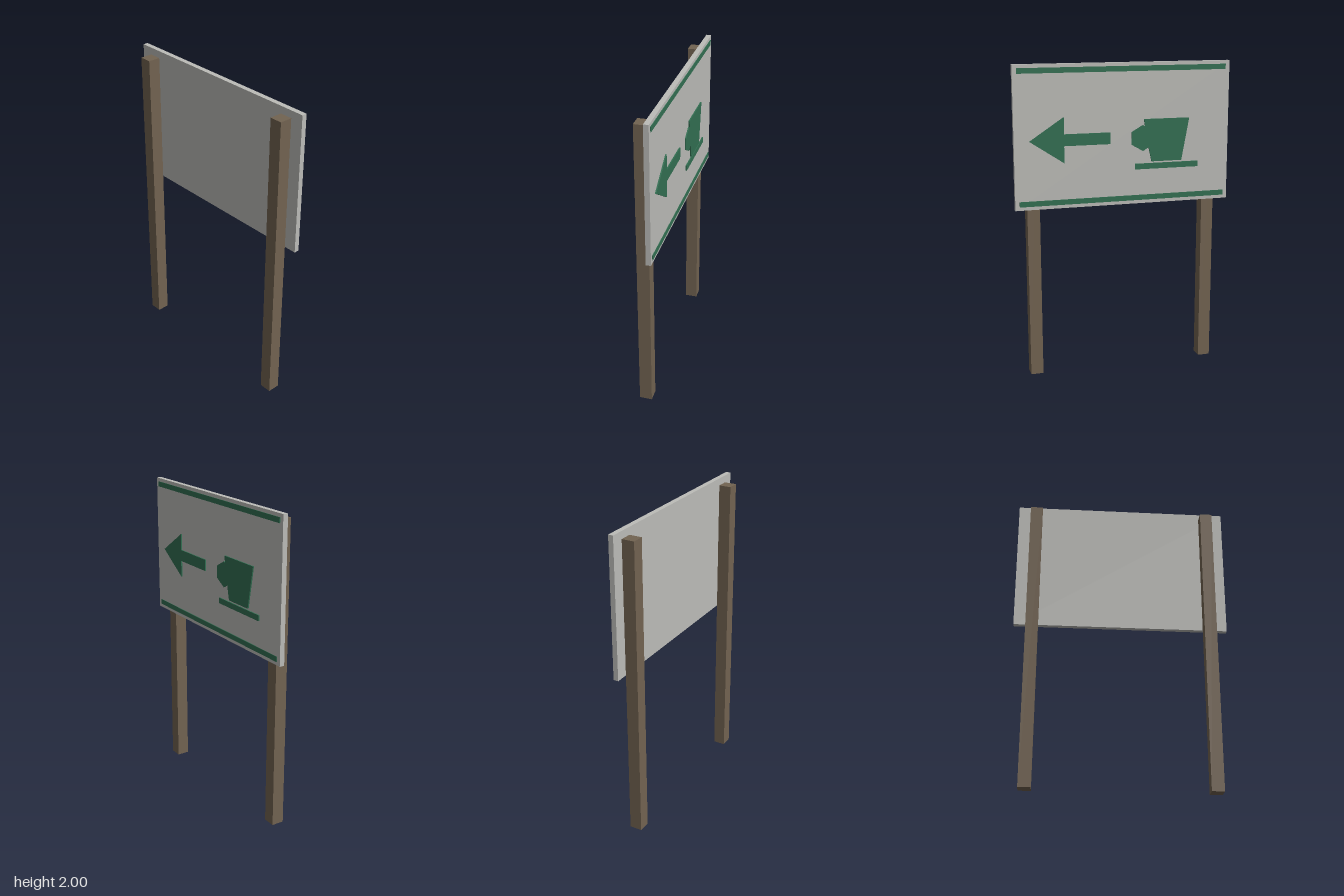
import * as THREE from 'three';

export function createModel() {
  const group = new THREE.Group();
  const material = (name, color) => {
    const m = new THREE.MeshStandardMaterial({ color });
    m.name = name;
    return m;
  };
  const wood = material('brown wood', 0x726351);
  const panel = material('pale grey panel', 0xbcbcb8);
  const green = material('sign green', 0x326f52);

  const add = (name, geometry, mat) => {
    const mesh = new THREE.Mesh(geometry, mat);
    mesh.name = name;
    group.add(mesh);
    return mesh;
  };
  // box given by its lower and upper bounds
  const box = (name, mat, [x0, y0, z0], [x1, y1, z1]) =>
    add(name, new THREE.BoxGeometry(x1 - x0, y1 - y0, z1 - z0), mat)
      .position.set((x0 + x1) / 2, (y0 + y1) / 2, (z0 + z1) / 2);

  const face = 0.052; // front of the panel, facing +x

  // flat cut-out on the panel; points run rightwards (-z) and up
  const plate = (name, points) => {
    const shape = new THREE.Shape(points.map(([u, v]) => new THREE.Vector2(u, v)));
    const geo = new THREE.ExtrudeGeometry(shape, { depth: 0.008, bevelEnabled: false });
    geo.rotateY(Math.PI / 2);
    add(name, geo, green).position.x = face;
  };

  // two square posts behind the panel
  for (const [name, z] of [['leftPost', -0.58], ['rightPost', 0.58]])
    box(name, wood, [-0.062, 0, z - 0.04], [0.018, 1.955, z + 0.04]);

  box('signPanel', panel, [0.02, 1.105, -0.7], [face, 2, 0.7]);

  // border stripes
  box('topStripe', green, [face, 1.945, -0.673], [face + 0.004, 1.978, 0.673]);
  box('bottomStripe', green, [face, 1.127, -0.673], [face + 0.004, 1.16, 0.673]);

  plate('arrow', [
    [-0.605, 1.533], [-0.388, 1.39], [-0.388, 1.497], [-0.092, 1.497],
    [-0.092, 1.57], [-0.388, 1.57], [-0.388, 1.676],
  ]);

  // cup with an angular handle, above its saucer
  plate('cup', [
    [0.18, 1.374], [0.38, 1.374], [0.43, 1.645], [0.128, 1.645],
    [0.136, 1.6], [0.122, 1.608], [0.047, 1.565], [0.047, 1.486],
    [0.122, 1.443], [0.16, 1.466],
  ]);
  plate('saucer', [[0.07, 1.327], [0.492, 1.327], [0.492, 1.363], [0.07, 1.363]]);

  return group;
}
